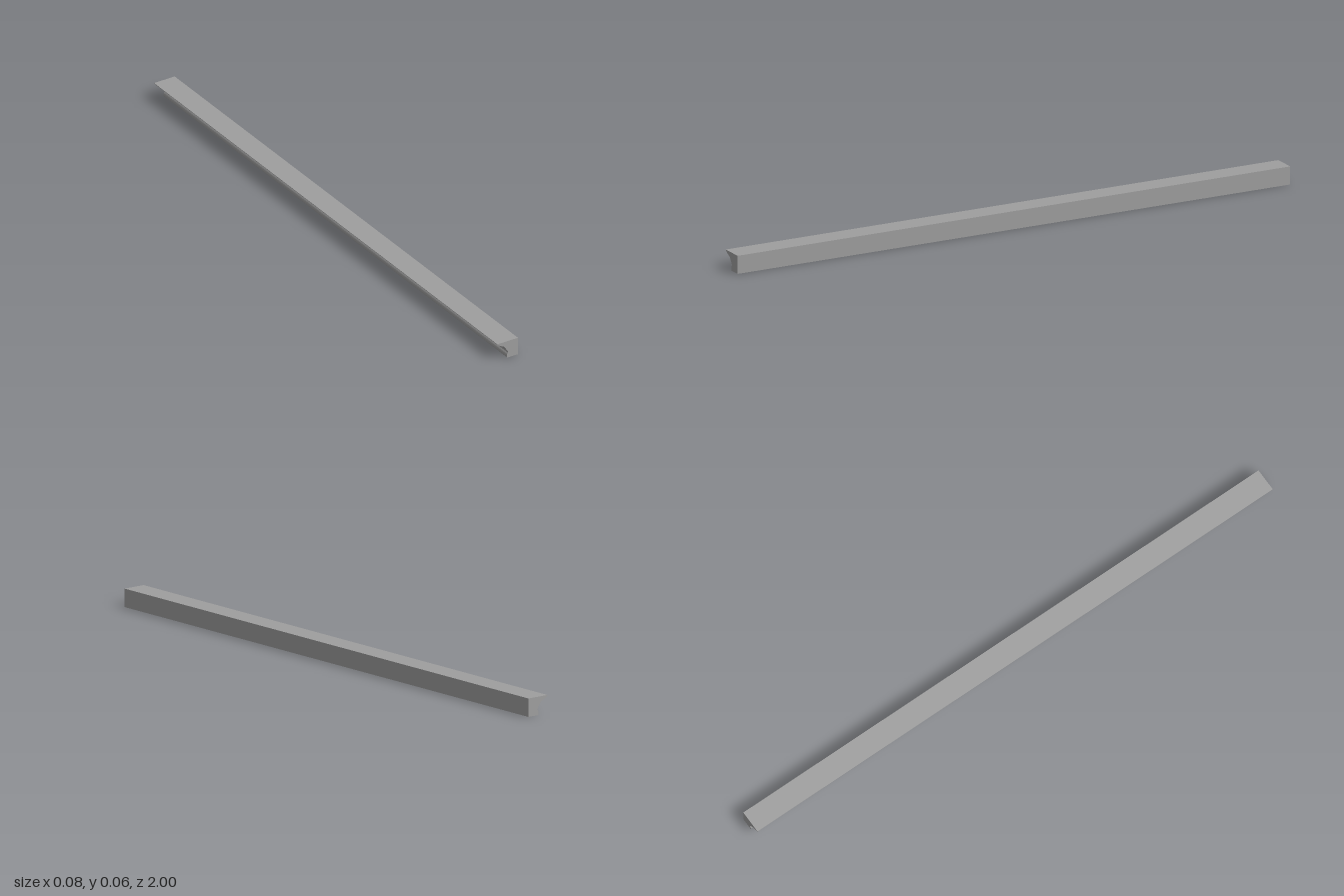
import * as THREE from 'three';

export function createModel() {
  const group = new THREE.Group();
  group.name = 'corniceMoulding';

  // Cross-section: square back and top, moulded face with overhanging lip
  const profile = new THREE.Shape();
  profile.moveTo(0.039, 0);
  profile.lineTo(0.039, 0.06);
  profile.lineTo(-0.039, 0.06);
  profile.lineTo(-0.039, 0.058);
  profile.quadraticCurveTo(-0.029, 0.05, -0.013, 0.043); // upper cove
  profile.lineTo(0.001, 0.022); // lower slope
  profile.lineTo(0.001, 0.017);
  profile.quadraticCurveTo(-0.003, 0.012, -0.003, 0.007); // bottom bead
  profile.quadraticCurveTo(-0.003, 0.002, -0.001, 0);
  profile.closePath();

  // Straight run along z
  const geometry = new THREE.ExtrudeGeometry(profile, { depth: 2, bevelEnabled: false, curveSegments: 4 });
  geometry.translate(0, 0, -1);
  const moulding = new THREE.Mesh(geometry, new THREE.MeshStandardMaterial({ color: 0x9e9e9e, flatShading: true }));
  moulding.name = 'mouldingStrip';
  group.add(moulding);
  return group;
}
